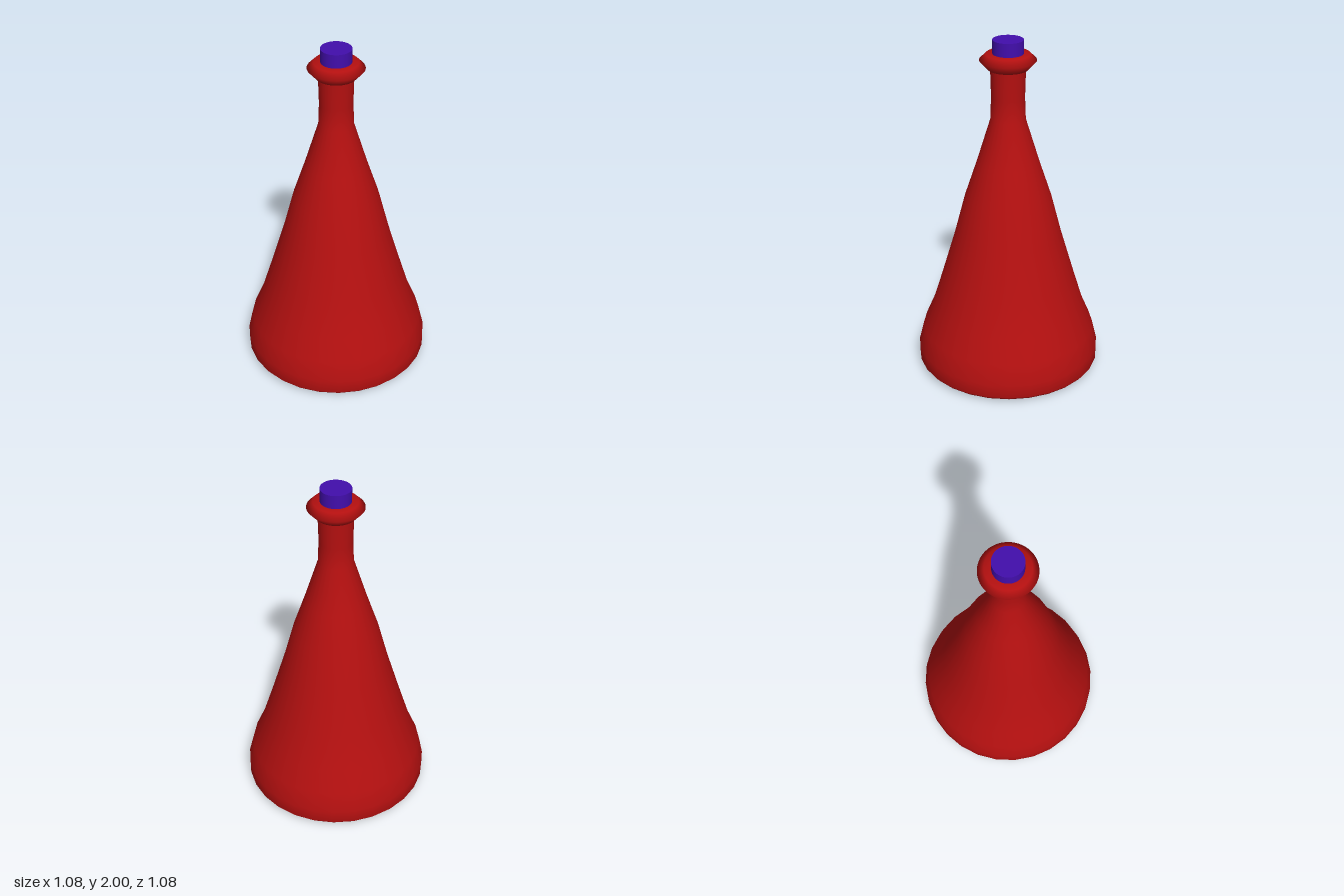
import * as THREE from 'three';

const lathe = (profile, segments) =>
  new THREE.LatheGeometry(profile.map(([r, y]) => new THREE.Vector2(r, y)), segments);

export function createModel() {
  const model = new THREE.Group();
  const glass = new THREE.MeshStandardMaterial({ color: 0xb41010, side: THREE.DoubleSide });
  const cork = new THREE.MeshStandardMaterial({ color: 0x420eac });

  const add = (name, geometry, material) => {
    const mesh = new THREE.Mesh(geometry, material);
    mesh.name = name;
    model.add(mesh);
    return mesh;
  };

  // Conical body with rounded foot, running up into a slightly waisted neck
  add('body', lathe([
    [0, 0], [0.49, 0.005], [0.525, 0.012], [0.54, 0.03], [0.54, 0.11],
    [0.51, 0.23], [0.455, 0.36], [0.39, 0.57], [0.31, 0.84], [0.25, 1.07],
    [0.18, 1.28], [0.1, 1.54], [0.095, 1.67], [0.1, 1.86],
  ], 28), glass);

  // Flared ring around the mouth
  add('lip', lathe([
    [0.08, 1.84], [0.115, 1.835], [0.16, 1.885], [0.125, 1.92], [0.08, 1.922],
  ], 48), glass);

  // Stopper plugged into the mouth
  add('stopper', new THREE.CylinderGeometry(0.087, 0.087, 0.18, 48), cork)
    .position.y = 1.91;

  return model;
}
